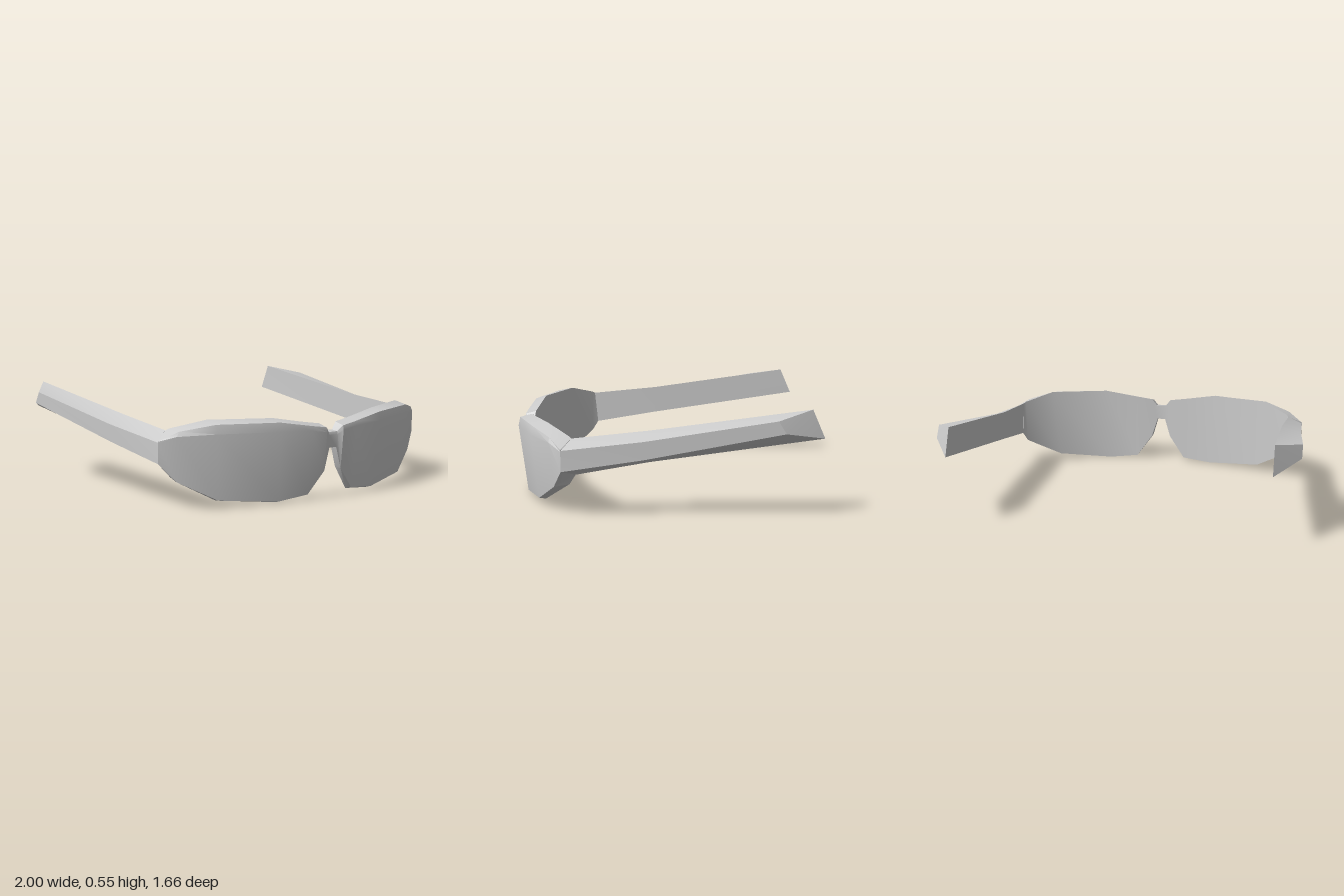
import * as THREE from 'three';
import { toCreasedNormals } from 'three/addons/utils/BufferGeometryUtils.js';

const material = new THREE.MeshStandardMaterial({ color: 0xcccccc });

// Skin a list of closed cross-sections (rings of [x, y, z]) and cap both ends.
function loft(sections) {
  const n = sections[0].length;
  const index = [];
  for (let i = 0; i < sections.length - 1; i++) {
    for (let j = 0; j < n; j++) {
      const a = i * n + j, b = i * n + (j + 1) % n;
      index.push(a, b, b + n, a, b + n, a + n);
    }
  }
  const last = (sections.length - 1) * n;
  for (let j = 1; j < n - 1; j++) {
    index.push(0, j + 1, j, last, last + j, last + j + 1);
  }
  const geometry = new THREE.BufferGeometry();
  geometry.setAttribute('position', new THREE.Float32BufferAttribute(sections.flat(2), 3));
  geometry.setIndex(index);
  return toCreasedNormals(geometry, 0.45);
}

// Mirror sections across x = 0, reversing their order to keep the faces outward.
const mirror = (sections) =>
  sections.map((ring) => ring.map(([x, y, z]) => [-x, y, z])).reverse();

function part(name, sections) {
  const mesh = new THREE.Mesh(loft(sections), material);
  mesh.name = name;
  return mesh;
}

export function createModel() {
  const group = new THREE.Group();
  group.name = 'sunglasses';

  // Left half of the wraparound front, from the bridge out to the hinge.
  // Ring order: top back, top front, brow, bottom front, bottom back.
  const half = [
    [[0.03, 0.36, 0.77], [0.03, 0.355, 0.81], [0.03, 0.34, 0.815], [0.025, 0.27, 0.81], [0.025, 0.27, 0.77]],
    [[0.06, 0.4, 0.765], [0.06, 0.385, 0.825], [0.06, 0.36, 0.83], [0.06, 0.15, 0.81], [0.06, 0.155, 0.765]],
    [[0.16, 0.415, 0.757], [0.16, 0.4, 0.82], [0.16, 0.375, 0.826], [0.16, 0.03, 0.79], [0.155, 0.02, 0.75]],
    [[0.36, 0.45, 0.737], [0.36, 0.433, 0.8], [0.36, 0.385, 0.81], [0.34, 0.012, 0.765], [0.33, 0.002, 0.732]],
    [[0.69, 0.455, 0.605], [0.69, 0.438, 0.69], [0.69, 0.39, 0.7], [0.66, 0.042, 0.665], [0.65, 0.035, 0.63]],
    [[0.835, 0.41, 0.485], [0.845, 0.405, 0.585], [0.86, 0.38, 0.587], [0.85, 0.145, 0.565], [0.83, 0.155, 0.485]],
    [[0.848, 0.4, 0.47], [0.93, 0.355, 0.52], [0.93, 0.345, 0.52], [0.93, 0.24, 0.52], [0.85, 0.21, 0.45]],
  ];
  group.add(part('frontLenses', [...mirror(half), ...half]));

  // Temple arms, cut at a slant at the rear tip.
  // Ring order: inner top, outer upper, outer lower, inner bottom.
  const arm = [
    [[0.85, 0.4, 0.47], [0.93, 0.35, 0.52], [0.93, 0.24, 0.52], [0.85, 0.21, 0.45]],
    [[0.84, 0.44, 0.07], [0.95, 0.4, 0.1], [0.945, 0.305, 0.1], [0.84, 0.275, 0.07]],
    [[0.87, 0.555, -0.765], [1, 0.515, -0.58], [1, 0.45, -0.62], [0.87, 0.405, -0.83]],
  ];
  group.add(part('leftTemple', arm));
  group.add(part('rightTemple', mirror(arm)));

  return group;
}
